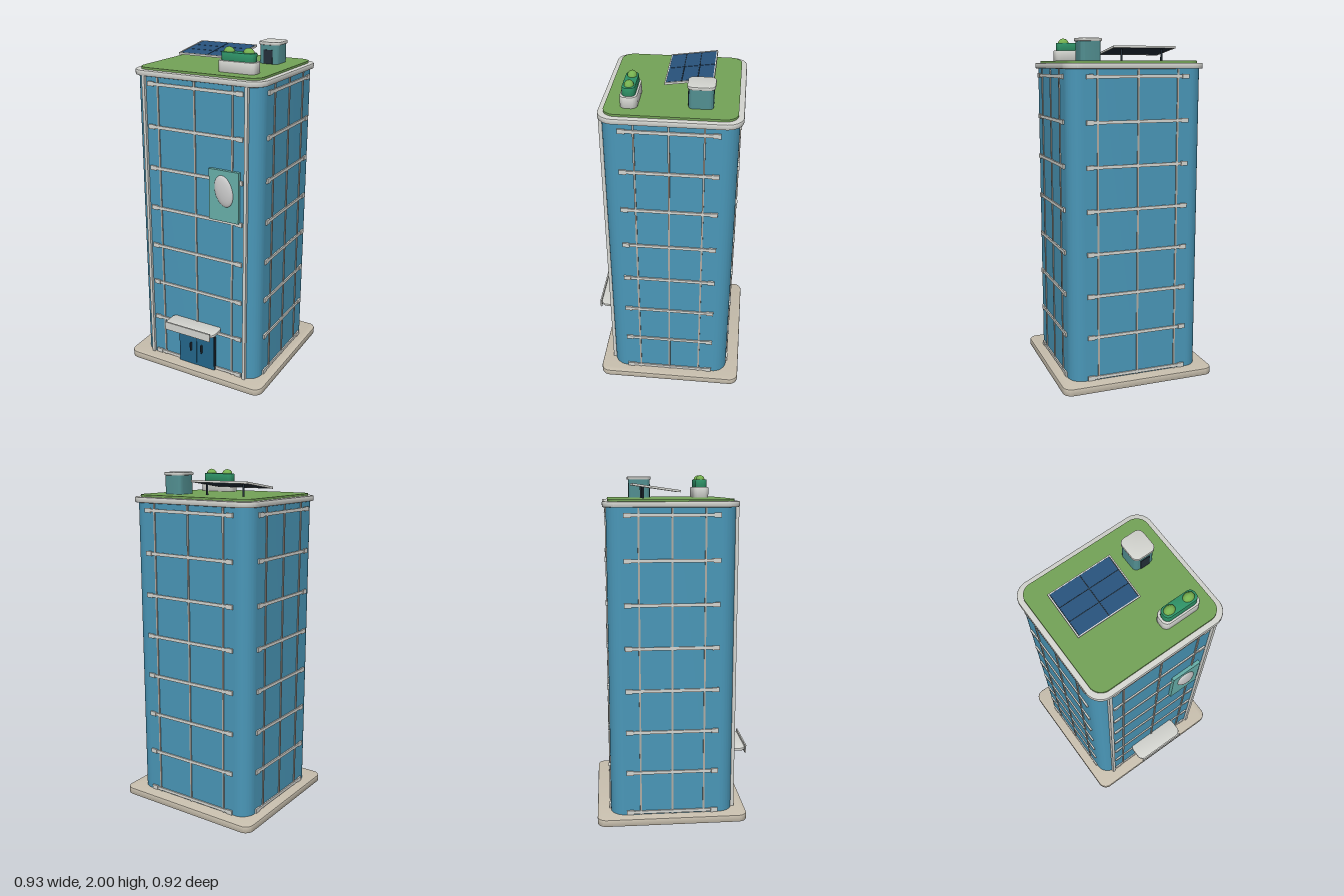
import * as THREE from 'three';
import { toCreasedNormals } from 'three/addons/utils/BufferGeometryUtils.js';

const mat = (color) => new THREE.MeshStandardMaterial({ color });
const M = {
  glass: mat(0x4a97b8), stone: mat(0xc8bfae), trim: mat(0xd4d5d0), mullion: mat(0xb0aca4),
  grass: mat(0x74a357), door: mat(0x23668a), dark: mat(0x24303a), sign: mat(0x68b0aa),
  cell: mat(0x28527c), hut: mat(0x528f91), hedge: mat(0x2f9468), shrub: mat(0x78b350),
  grey: mat(0xcccccc),
};
const CZ = -0.025; // centre of the tower in z

// Horizontal slab with rounded corners, from y0 to y1
function slab(parent, name, material, w, d, r, y0, y1, x, z, bevel = 0) {
  const a = w / 2 - bevel, b = d / 2 - bevel, s = new THREE.Shape();
  s.moveTo(-a + r, -b);
  s.lineTo(a - r, -b); s.absarc(a - r, -b + r, r, -Math.PI / 2, 0);
  s.lineTo(a, b - r); s.absarc(a - r, b - r, r, 0, Math.PI / 2);
  s.lineTo(-a + r, b); s.absarc(-a + r, b - r, r, Math.PI / 2, Math.PI);
  s.lineTo(-a, -b + r); s.absarc(-a + r, -b + r, r, Math.PI, Math.PI * 1.5);
  const g = new THREE.ExtrudeGeometry(s, {
    depth: y1 - y0 - 2 * bevel, curveSegments: 10, bevelEnabled: bevel > 0,
    bevelSize: bevel, bevelThickness: bevel, bevelSegments: 2,
  });
  g.rotateX(-Math.PI / 2).translate(x, y0 + bevel, z);
  const m = new THREE.Mesh(toCreasedNormals(g, 0.6), material);
  m.name = name;
  parent.add(m);
  return m;
}

function box(parent, name, material, w, h, d, x, y, z) {
  const m = new THREE.Mesh(new THREE.BoxGeometry(w, h, d), material);
  m.name = name;
  m.position.set(x, y, z);
  parent.add(m);
  return m;
}

function group(parent, name) {
  const g = new THREE.Group();
  g.name = name;
  parent.add(g);
  return g;
}

// One wall: thin mullions and floor bands, built facing +z at the given distance
function facade(parent, name, angle, dist, bandWidth, mullionGap) {
  const f = group(parent, name);
  f.position.z = CZ;
  f.rotation.y = angle;
  for (const i of [-1, 0, 1])
    box(f, 'mullion', M.mullion, 0.01, 1.78, 0.012, i * mullionGap, 0.93, dist);
  for (let k = 0; k < 8; k++) {
    const y = 0.057 + k * 0.2463;
    box(f, 'floorBand', M.trim, bandWidth - 0.04, 0.018, 0.016, 0, y, dist);
    for (const s of [-1, 1])
      box(f, 'bandEnd', M.trim, 0.04, 0.026, 0.02, s * (bandWidth / 2 - 0.02), y, dist);
  }
}

export function createModel() {
  const model = new THREE.Group();
  model.name = 'officeTower';

  // Base, glass body and roof
  slab(model, 'basePlate', M.stone, 0.93, 0.88, 0.05, 0, 0.042, 0, CZ, 0.005);
  slab(model, 'glassBody', M.glass, 0.8, 0.72, 0.085, 0.035, 1.83, 0, CZ);
  slab(model, 'roofSlab', M.trim, 0.83, 0.76, 0.085, 1.822, 1.854, 0, CZ, 0.006);
  slab(model, 'roofLawn', M.grass, 0.77, 0.7, 0.07, 1.85, 1.866, 0, CZ);

  // Walls
  facade(model, 'frontWall', 0, 0.36, 0.606, 0.238);
  facade(model, 'backWall', Math.PI, 0.36, 0.606, 0.238);
  facade(model, 'leftWall', Math.PI / 2, 0.4, 0.536, 0.185);
  facade(model, 'rightWall', -Math.PI / 2, 0.4, 0.536, 0.185);
  for (const s of [-1, 1])
    box(model, 'frontColumn', M.trim, 0.018, 1.785, 0.03, s * 0.326, 0.932, 0.337);

  // Entrance
  const entrance = group(model, 'entrance');
  box(entrance, 'doorFrame', M.dark, 0.254, 0.275, 0.02, 0, 0.176, 0.338);
  for (const s of [-1, 1]) {
    box(entrance, 'doorLeaf', M.door, 0.12, 0.265, 0.02, s * 0.0615, 0.174, 0.342);
    box(entrance, 'doorHandle', M.dark, 0.007, 0.055, 0.014, s * 0.038, 0.168, 0.36);
  }
  slab(entrance, 'canopy', M.trim, 0.34, 0.13, 0.035, 0.328, 0.345, 0, 0.387, 0.004);
  box(entrance, 'canopyFascia', M.trim, 0.312, 0.05, 0.009, 0, 0.334, 0.455);

  // Wall panel with a plain oval medallion
  const panel = group(model, 'wallPanel');
  box(panel, 'panelBoard', M.sign, 0.188, 0.3, 0.02, 0.193, 1.2, 0.345);
  const medallion = new THREE.Mesh(new THREE.SphereGeometry(1, 28, 16), M.grey);
  medallion.name = 'medallion';
  medallion.scale.set(0.056, 0.093, 0.018);
  medallion.rotation.z = 0.25;
  medallion.position.set(0.194, 1.23, 0.355);
  panel.add(medallion);

  // Solar panel, sloping down towards the front
  const solar = group(model, 'solarPanel');
  const tray = group(solar, 'solarTray');
  tray.position.set(-0.1, 1.924, -0.102);
  tray.rotation.x = 0.14;
  box(tray, 'solarBacking', M.dark, 0.37, 0.006, 0.256, 0, 0, 0);
  for (const s of [-1, 1]) {
    box(tray, 'solarFrameSide', M.trim, 0.007, 0.012, 0.268, s * 0.1865, 0.001, 0);
    box(tray, 'solarFrameEnd', M.trim, 0.38, 0.012, 0.007, 0, 0.001, s * 0.1305);
    for (const r of [-1, 0, 1])
      box(tray, 'solarCell', M.cell, 0.176, 0.006, 0.082, s * 0.0905, 0.003, r * 0.086);
    const leg = new THREE.Mesh(new THREE.CylinderGeometry(0.006, 0.006, 0.07, 10), M.dark);
    leg.name = 'solarLeg';
    leg.position.set(-0.103 + s * 0.124, 1.898, -0.175);
    solar.add(leg);
  }

  // Stair house with a door to the front
  const hut = group(model, 'stairHouse');
  slab(hut, 'hutWalls', M.hut, 0.12, 0.13, 0.025, 1.862, 1.975, 0.223, -0.178);
  slab(hut, 'hutRoof', M.trim, 0.134, 0.146, 0.03, 1.972, 1.99, 0.223, -0.178, 0.004);
  box(hut, 'hutDoor', M.dark, 0.055, 0.08, 0.008, 0.223, 1.905, -0.113);

  // Planter with hedge and two shrubs
  const planter = group(model, 'planter');
  slab(planter, 'planterBox', M.trim, 0.23, 0.092, 0.03, 1.862, 1.928, 0.2, 0.196, 0.004);
  slab(planter, 'hedge', M.hedge, 0.204, 0.07, 0.025, 1.92, 1.973, 0.2, 0.196, 0.004);
  for (const x of [0.14, 0.258]) {
    const shrub = new THREE.Mesh(new THREE.IcosahedronGeometry(0.034, 1), M.shrub);
    shrub.name = 'shrub';
    shrub.scale.set(1, 0.9, 0.8);
    shrub.position.set(x, 1.969, 0.195);
    planter.add(shrub);
  }
  return model;
}
